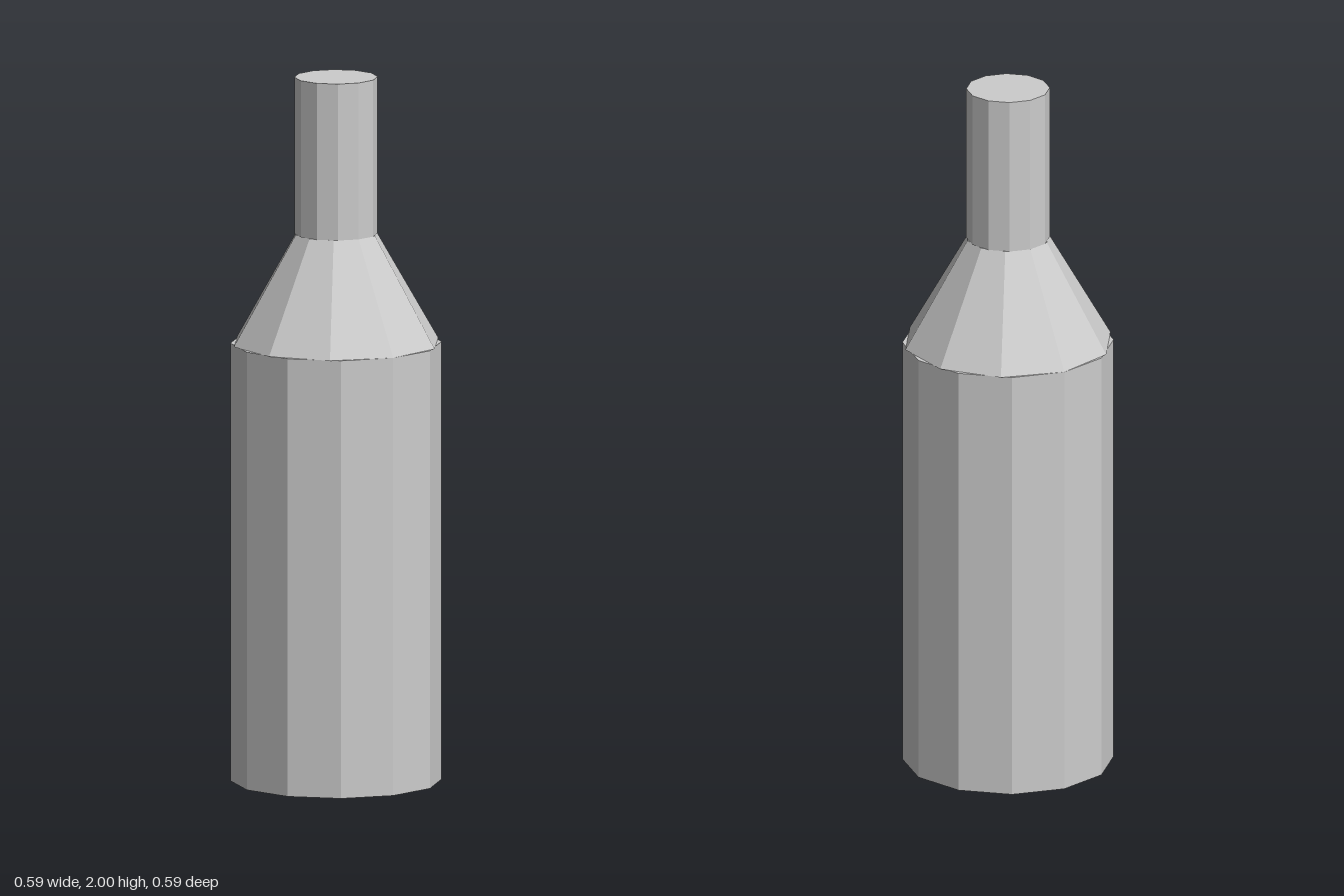
import * as THREE from 'three';

export function createModel() {
  const group = new THREE.Group();
  group.name = 'bottle';
  const grey = new THREE.MeshStandardMaterial({ color: 0xcccccc, flatShading: true });
  grey.name = 'light grey';

  // One faceted, capped section standing between two heights
  const section = (name, topRadius, bottomRadius, y0, y1, sides) => {
    const geometry = new THREE.CylinderGeometry(topRadius, bottomRadius, y1 - y0, sides);
    const mesh = new THREE.Mesh(geometry, grey);
    mesh.name = name;
    mesh.position.y = (y0 + y1) / 2;
    group.add(mesh);
  };

  section('body', 0.296, 0.296, 0, 1.245, 12);
  // The shoulder has fewer sides, so the body rim peeks out around it
  section('shoulder', 0.117, 0.296, 1.245, 1.555, 10);
  section('neck', 0.117, 0.117, 1.555, 2, 12);

  return group;
}
